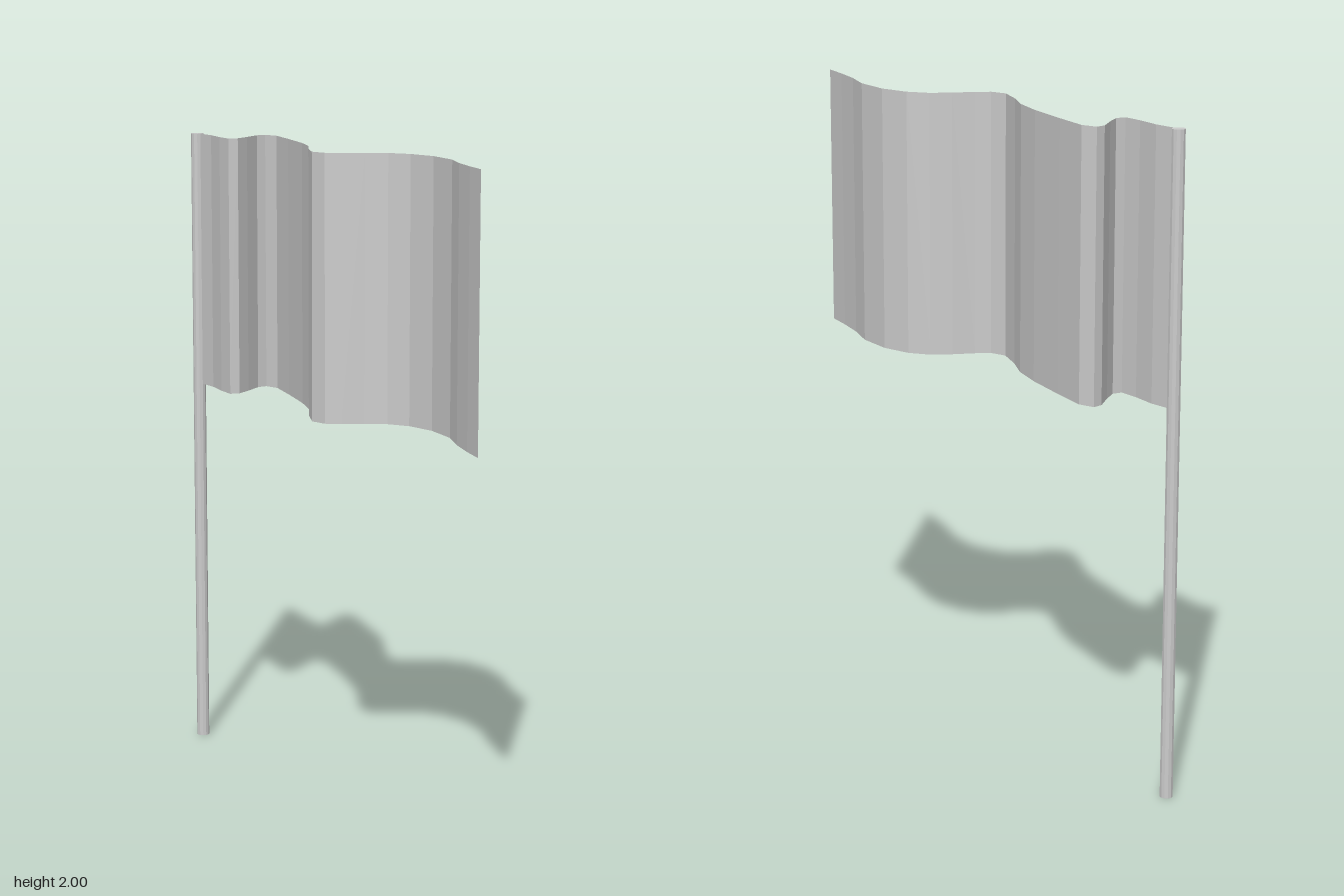
import * as THREE from 'three';

// Wavy plan of the cloth, as [x, z] from the pole to the free edge
const PLAN = [
  [-0.06, -0.73], [-0.06, -0.66], [-0.075, -0.58], [-0.08, -0.515],
  [-0.05, -0.508], [0, -0.537], [0.06, -0.578], [0.092, -0.58],
  [0.104, -0.53], [0.072, -0.405], [0.028, -0.25], [-0.013, -0.143],
  [-0.068, -0.055], [-0.112, 0.037], [-0.1, 0.09], [-0.06, 0.12],
  [0, 0.155], [0.055, 0.195], [0.092, 0.258], [0.108, 0.355],
  [0.089, 0.478], [0.043, 0.58], [0.01, 0.68], [-0.015, 0.77],
];
const BOTTOM = 1.19, TOP = 2;

export function createModel() {
  const group = new THREE.Group();

  // Pole
  const pole = new THREE.Mesh(
    new THREE.CylinderGeometry(0.02, 0.02, TOP, 12),
    new THREE.MeshStandardMaterial({ color: 0xcccccc, flatShading: true })
  );
  pole.name = 'pole';
  pole.position.set(-0.06, TOP / 2, -0.75);
  group.add(pole);

  // Cloth: a plane strip whose columns follow the plan
  const geometry = new THREE.PlaneGeometry(1, 1, PLAN.length - 1, 1);
  const pos = geometry.attributes.position;
  for (let i = 0; i < pos.count; i++) {
    const [x, z] = PLAN[i % PLAN.length];
    pos.setXYZ(i, x, i < PLAN.length ? TOP : BOTTOM, z);
  }
  geometry.computeVertexNormals();
  const cloth = new THREE.Mesh(
    geometry,
    new THREE.MeshStandardMaterial({ color: 0xcccccc, flatShading: true, side: THREE.DoubleSide })
  );
  cloth.name = 'flagCloth';
  group.add(cloth);

  return group;
}
